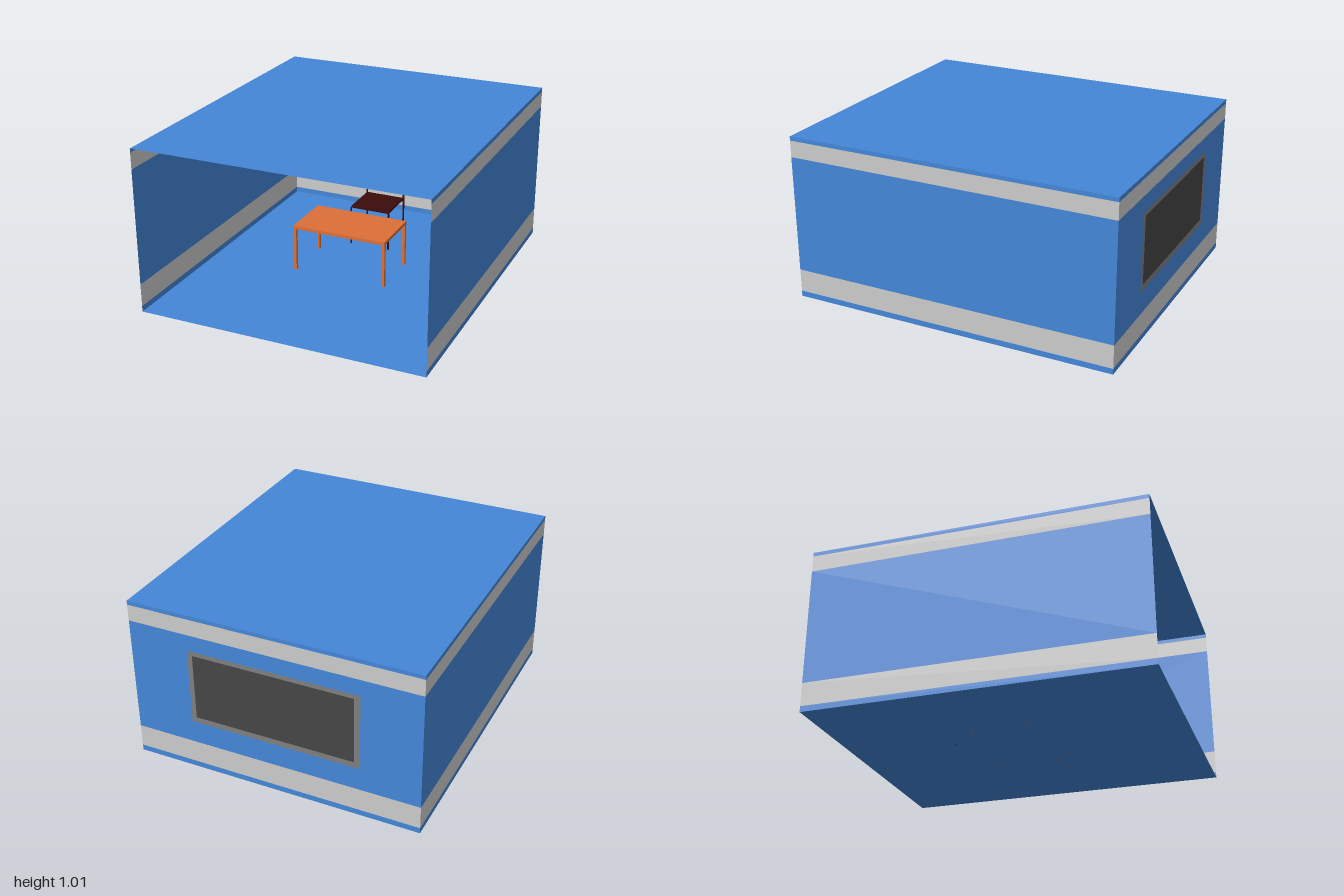
import * as THREE from 'three';

const W = 0.88, H = 1.01, D = 1; // half width, height, half depth

function mat(color, side = THREE.FrontSide) {
  const m = new THREE.MeshStandardMaterial({ color });
  m.side = side;
  return m;
}
const BLUE = mat(0x4486d8, THREE.DoubleSide);
const STRIPE = mat(0xcccccc, THREE.DoubleSide);
const FRAME = mat(0x7e7e7e, THREE.DoubleSide);
const BOARD = mat(0x454545, THREE.DoubleSide);
const LAMP = mat(0x454545, THREE.DoubleSide);
const WOOD = mat(0xdd7038);
const METAL = mat(0x3c0c0c);

function add(parent, name, geometry, material, x = 0, y = 0, z = 0) {
  const mesh = new THREE.Mesh(geometry, material);
  mesh.name = name;
  mesh.position.set(x, y, z);
  parent.add(mesh);
  return mesh;
}

// Flat rectangle [x0, x1, y0, y1] with an optional rectangular opening
function panel(r, hole) {
  const trace = (p, [x0, x1, y0, y1]) =>
    p.moveTo(x0, y0).lineTo(x1, y0).lineTo(x1, y1).lineTo(x0, y1).closePath();
  const shape = new THREE.Shape();
  trace(shape, r);
  if (hole) {
    const path = new THREE.Path();
    trace(path, hole);
    shape.holes.push(path);
  }
  return new THREE.ShapeGeometry(shape);
}

// Wall made of stacked blue and grey bands
function makeWall(name, half, opening) {
  const wall = new THREE.Group();
  wall.name = name;
  const levels = [0, 0.035, 0.175, 0.885, 0.985, H];
  for (let i = 0; i < 5; i++) {
    const grey = i % 2 === 1;
    add(wall, grey ? 'wallStripe' : 'wallBand',
      panel([-half, half, levels[i], levels[i + 1]], i === 2 ? opening : null),
      grey ? STRIPE : BLUE);
  }
  return wall;
}

function makeRoom() {
  const room = new THREE.Group();
  room.name = 'room';
  for (const [name, y] of [['floor', 0], ['ceiling', H]]) {
    add(room, name, new THREE.PlaneGeometry(2 * W, 2 * D), BLUE, 0, y, 0).rotation.x = -Math.PI / 2;
  }
  for (const s of [-1, 1]) {
    const side = makeWall(s > 0 ? 'leftWall' : 'rightWall', D);
    side.rotation.y = s * Math.PI / 2;
    side.position.x = s * W;
    room.add(side);
  }
  // Back wall with a framed blackboard let into it
  const outer = [-0.525, 0.515, 0.315, 0.785];
  const inner = [-0.49, 0.485, 0.35, 0.758];
  const back = makeWall('backWall', W, outer);
  add(back, 'blackboardFrame', panel(outer, inner), FRAME);
  add(back, 'blackboard', panel(inner), BOARD);
  back.position.z = -D;
  room.add(back);
  return room;
}

function makeTable() {
  const table = new THREE.Group();
  table.name = 'table';
  const w = 0.61, d = 0.35, leg = 0.02;
  add(table, 'tableTop', new THREE.BoxGeometry(w, 0.02, d), WOOD, 0, 0.285, 0);
  for (const sx of [-1, 1]) for (const sz of [-1, 1]) {
    add(table, 'tableLeg', new THREE.BoxGeometry(leg, 0.275, leg), WOOD,
      sx * (w - leg) / 2, 0.1375, sz * (d - leg) / 2);
  }
  table.position.set(-0.025, 0, -0.035);
  return table;
}

function makeChair() {
  const chair = new THREE.Group();
  chair.name = 'chair';
  const h = 0.13, r = 0.006;
  add(chair, 'seat', new THREE.BoxGeometry(2 * h, 0.012, 2 * h), METAL, 0, 0.256, 0);
  for (const s of [-1, 1]) {
    add(chair, 'frontLeg', new THREE.CylinderGeometry(r, r, 0.25, 10), METAL, s * h, 0.125, h);
  }
  // Back legs and backrest are one bent rod
  const v = (x, y) => new THREE.Vector3(x, y, -h);
  const bow = new THREE.CurvePath();
  bow.add(new THREE.LineCurve3(v(-h, 0), v(-h, 0.4)));
  bow.add(new THREE.CubicBezierCurve3(v(-h, 0.4), v(-h, 0.452), v(-0.1, 0.474), v(0, 0.475)));
  bow.add(new THREE.CubicBezierCurve3(v(0, 0.475), v(0.1, 0.474), v(h, 0.452), v(h, 0.4)));
  bow.add(new THREE.LineCurve3(v(h, 0.4), v(h, 0)));
  add(chair, 'backFrame', new THREE.TubeGeometry(bow, 90, r, 10), METAL);
  add(chair, 'backRail', new THREE.CylinderGeometry(r, r, 2 * h, 10), METAL, 0, 0.403, -h)
    .rotation.z = Math.PI / 2;
  chair.position.set(-0.032, 0, -0.49);
  return chair;
}

// Pendant lamp hanging from the ceiling, open underneath
function makeLamp() {
  const points = [[0.085, 0.762], [0.094, 0.778], [0.097, 0.798], [0.092, 0.822], [0.07, 0.847],
    [0.045, 0.872], [0.031, 0.9], [0.024, 0.94], [0.018, 0.98], [0.014, H - 0.002]]
    .map(([x, y]) => new THREE.Vector2(x, y));
  const profile = new THREE.SplineCurve(points).getPoints(40);
  return new THREE.Mesh(new THREE.LatheGeometry(profile, 40), LAMP);
}

export function createModel() {
  const model = new THREE.Group();
  model.name = 'classroom';
  const lamp = makeLamp();
  lamp.name = 'pendantLamp';
  lamp.position.set(-0.008, 0, -0.03);
  model.add(makeRoom(), makeTable(), makeChair(), lamp);
  return model;
}
